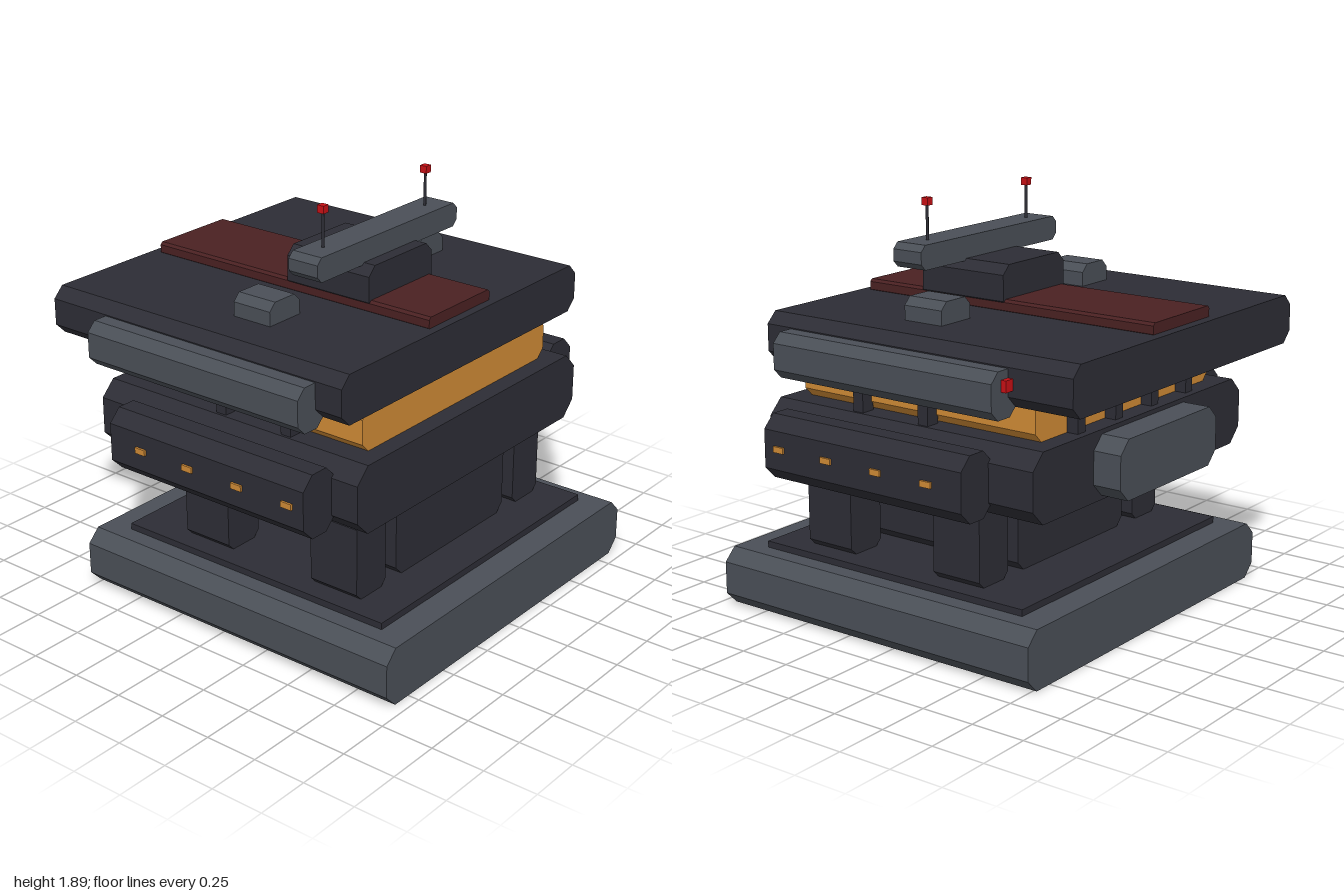
import * as THREE from 'three';

const mat = (name, color) => {
  const m = new THREE.MeshStandardMaterial({ color });
  m.name = name;
  return m;
};

export function createModel() {
  const dark = mat('dark hull', 0x2d2d35);
  const grey = mat('grey plating', 0x4a4f57);
  const amber = mat('amber glow', 0xcf8a35);
  const maroon = mat('maroon stripe', 0x4a2122);
  const red = mat('red beacon', 0xc81015);
  const model = new THREE.Group();
  model.name = 'station';

  const add = (name, geo, material) => {
    const mesh = new THREE.Mesh(geo, material);
    mesh.name = name;
    model.add(mesh);
    return mesh;
  };

  // Plain block given by its extents
  const box = (name, m, x0, x1, y0, y1, z0, z1) =>
    add(name, new THREE.BoxGeometry(x1 - x0, y1 - y0, z1 - z0), m)
      .position.set((x0 + x1) / 2, (y0 + y1) / 2, (z0 + z1) / 2);

  // Block with four chamfered long edges, extruded along z
  const bevelled = (name, m, x0, x1, y0, y1, z0, z1, c) => {
    const s = new THREE.Shape([
      [x0 + c, y0], [x1 - c, y0], [x1, y0 + c], [x1, y1 - c],
      [x1 - c, y1], [x0 + c, y1], [x0, y1 - c], [x0, y0 + c],
    ].map(([x, y]) => new THREE.Vector2(x, y)));
    const geo = new THREE.ExtrudeGeometry(s, { depth: z1 - z0, bevelEnabled: false });
    add(name, geo, m).position.z = z0;
  };

  // Same block on both sides of x = 0
  const pair = (make, name, m, x0, x1, ...rest) => {
    make(name + 'Left', m, x0, x1, ...rest);
    make(name + 'Right', m, -x1, -x0, ...rest);
  };

  // Foundation
  bevelled('base', grey, -0.9, 0.9, 0, 0.27, -0.765, 0.945, 0.06);
  box('basePlate', dark, -0.76, 0.76, 0.26, 0.3, -0.63, 0.81);

  // Supports
  bevelled('core', dark, -0.405, 0.405, 0.28, 0.69, -0.345, 0.615, 0.06);
  pair(bevelled, 'frontLeg', dark, 0.485, 0.685, 0.28, 0.69, 0.37, 0.62, 0.05);
  pair(bevelled, 'backLeg', dark, 0.485, 0.685, 0.28, 0.69, -0.35, -0.1, 0.05);

  // Lower deck with side pods and rear unit
  bevelled('lowerDeck', dark, -0.81, 0.81, 0.68, 0.99, -0.72, 0.72, 0.07);
  pair(bevelled, 'sidePod', dark, 0.785, 0.99, 0.69, 0.98, -0.495, 0.585, 0.058);
  bevelled('rearUnit', grey, -0.38, 0.38, 0.7, 0.97, -0.855, -0.7, 0.06);
  for (const z of [0.5, 0.23, -0.045, -0.315])
    pair(box, 'podLight', amber, 0.98, 1, 0.828, 0.855, z - 0.028, z + 0.028);

  // Glowing window band and its posts
  bevelled('windowBand', amber, -0.67, 0.67, 0.985, 1.185, -0.63, 0.635, 0.045);
  for (const z of [0.275, -0.085])
    pair(box, 'sidePost', dark, 0.66, 0.728, 0.98, 1.19, z - 0.027, z + 0.027);
  for (const x of [0.14, 0.42])
    pair(box, 'backPost', dark, x - 0.027, x + 0.027, 0.98, 1.19, -0.685, -0.62);

  // Roof slab, side tanks and tail lamps
  bevelled('roof', dark, -0.855, 0.855, 1.178, 1.4, -0.945, 0.675, 0.05);
  pair(bevelled, 'sideTank', grey, 0.8, 0.965, 1.143, 1.345, -0.63, 0.54, 0.043);
  pair(box, 'tailLamp', red, 0.84, 0.9, 1.257, 1.307, -0.653, -0.62);

  // Rooftop details
  bevelled('roofStripe', maroon, -0.22, 0.22, 1.39, 1.45, -0.9, 0.635, 0.012);
  bevelled('roofHousing', dark, -0.225, 0.225, 1.4, 1.6, -0.13, 0.32, 0.042);
  pair(bevelled, 'roofVent', grey, 0.42, 0.615, 1.36, 1.5, -0.1, 0.1, 0.035);
  bevelled('sensorBar', grey, -0.495, 0.495, 1.59, 1.7, 0.105, 0.26, 0.028);

  // Antennas with beacons
  for (const x of [-0.36, 0.36]) {
    add('antenna', new THREE.CylinderGeometry(0.007, 0.007, 0.17, 6), dark).position.set(x, 1.775, 0.18);
    box('beacon', red, x - 0.017, x + 0.017, 1.853, 1.887, 0.163, 0.197);
  }

  return model;
}
